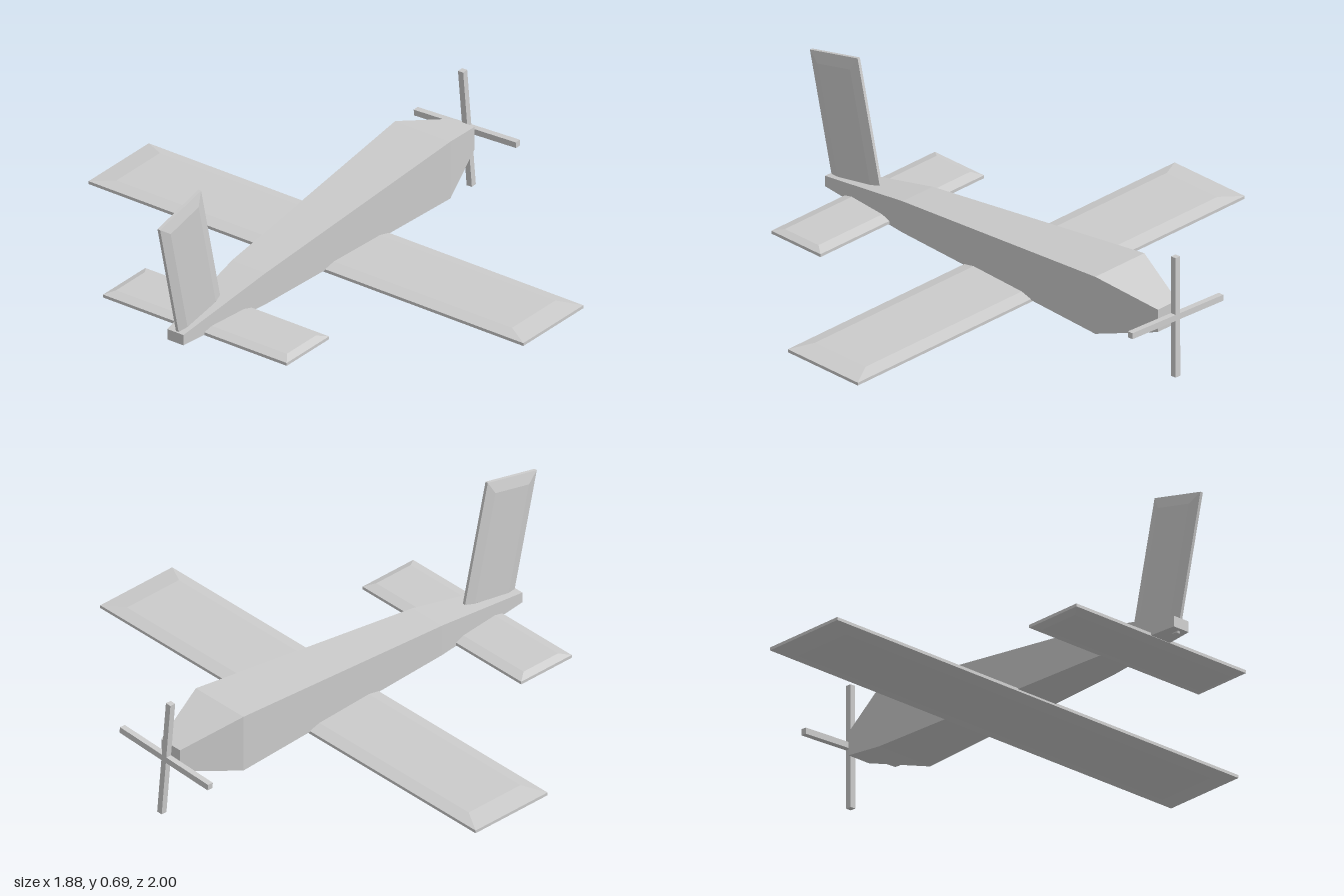
import * as THREE from 'three';

const material = new THREE.MeshStandardMaterial({ color: 0xcccccc, flatShading: true });

// Skins a row of four-cornered rings and caps both ends.
function loft(name, rings) {
  const pos = [];
  const quad = (a, b, c, d) => pos.push(...a, ...b, ...c, ...a, ...c, ...d);
  for (let r = 0; r < rings.length - 1; r++) {
    const a = rings[r], b = rings[r + 1];
    for (let i = 0; i < 4; i++) {
      const j = (i + 1) % 4;
      quad(a[i], a[j], b[j], b[i]);
    }
  }
  quad(...[...rings[0]].reverse());
  quad(...rings[rings.length - 1]);
  const geometry = new THREE.BufferGeometry();
  geometry.setAttribute('position', new THREE.Float32BufferAttribute(pos, 3));
  geometry.computeVertexNormals();
  const mesh = new THREE.Mesh(geometry, material);
  mesh.name = name;
  return mesh;
}

// Flat panel with a thin rim, bevelled up to a thicker middle.
function panel(name, width, length, thick, insetX, insetZ) {
  const rim = 0.006;
  const ring = (y, dx, dz) => {
    const x = width / 2 - dx, z = length / 2 - dz;
    return [[x, y, z], [x, y, -z], [-x, y, -z], [-x, y, z]];
  };
  return loft(name, [
    ring(-thick / 2, insetX, insetZ),
    ring(-rim, 0, 0),
    ring(rim, 0, 0),
    ring(thick / 2, insetX, insetZ),
  ]);
}

export function createModel() {
  const model = new THREE.Group();
  model.name = 'airplane';

  // Fuselage stations: x, bottom, top, half width
  const stations = [
    [-0.84, 0.122, 0.165, 0.037],
    [-0.40, 0.115, 0.245, 0.078],
    [0.64, 0.115, 0.352, 0.127],
    [0.885, 0.187, 0.28, 0.05],
  ];
  const zMid = -0.006;
  model.add(loft('fuselage', stations.map(([x, lo, hi, w]) => [
    [x, hi, zMid + w], [x, lo, zMid + w], [x, lo, zMid - w], [x, hi, zMid - w],
  ])));

  // Main wing
  const wing = panel('wing', 0.36, 2, 0.035, 0.05, 0.09);
  wing.position.set(0.113, 0.113, 0);
  model.add(wing);

  // Tailplane
  const tailplane = panel('tailplane', 0.253, 0.845, 0.034, 0.04, 0.03);
  tailplane.position.set(-0.602, 0.125, -0.002);
  model.add(tailplane);

  // Swept fin, its root buried in the fuselage
  const lean = 0.23, finHeight = 0.54;
  const fin = new THREE.Group();
  fin.name = 'fin';
  const finPanel = panel('finPanel', 0.252, finHeight, 0.034, 0.04, 0.045);
  finPanel.rotation.x = Math.PI / 2;
  fin.add(finPanel);
  fin.rotation.z = lean;
  fin.position.set(
    -0.822 + Math.sin(lean) * finHeight / 2,
    0.668 - Math.cos(lean) * finHeight / 2,
    -0.002,
  );
  model.add(fin);

  // Propeller of two crossed bars, tipped slightly
  const propeller = new THREE.Group();
  propeller.name = 'propeller';
  [['verticalBlade', 0.48, 0.024], ['horizontalBlade', 0.024, 0.47]].forEach(([name, h, d]) => {
    const blade = new THREE.Mesh(new THREE.BoxGeometry(0.024, h, d), material);
    blade.name = name;
    propeller.add(blade);
  });
  propeller.position.set(0.917, 0.243, -0.016);
  propeller.rotation.set(-0.047, 0, 0.047);
  model.add(propeller);

  return model;
}
